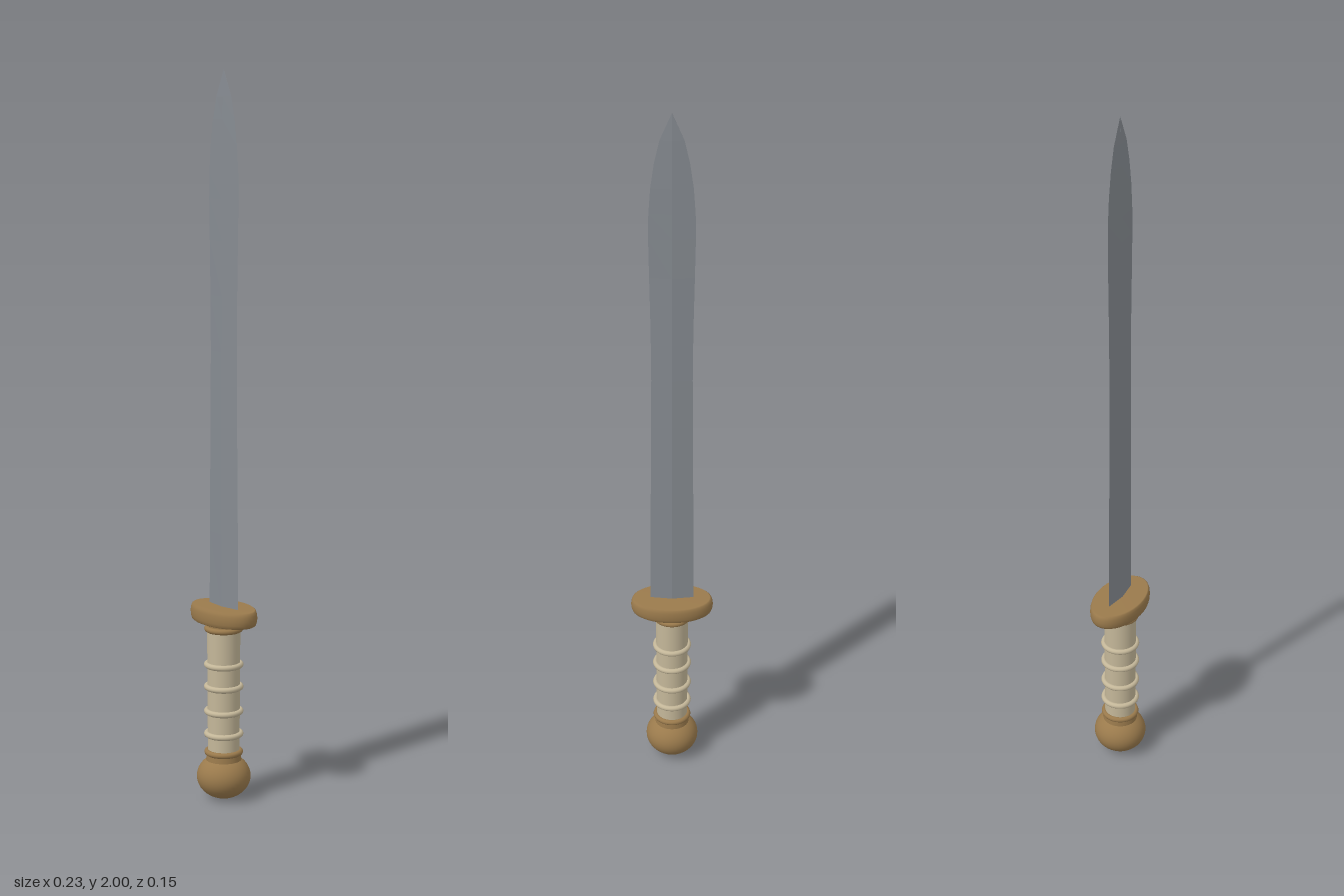
import * as THREE from 'three';

const mat = (color, extra = {}) => {
  const m = new THREE.MeshStandardMaterial({ color });
  return Object.assign(m, extra);
};

// Straight double-edged blade: diamond cross-sections [y, half width, half thickness]
function bladeGeometry() {
  const sections = [
    [0.53, 0.061, 0.008], [0.75, 0.060, 0.008], [1.0, 0.057, 0.0075], [1.25, 0.055, 0.007],
    [1.4, 0.056, 0.0065], [1.55, 0.059, 0.006], [1.66, 0.061, 0.0055], [1.73, 0.060, 0.005],
    [1.8, 0.055, 0.0045], [1.87, 0.045, 0.004], [1.93, 0.031, 0.003], [2.0, 0.0005, 0.0005],
  ];
  const corner = ([y, w, t], k) => [[w, y, 0], [0, y, t], [-w, y, 0], [0, y, -t]][k % 4];
  const pos = [];
  for (let i = 0; i < sections.length - 1; i++) {
    for (let k = 0; k < 4; k++) {
      const a = corner(sections[i], k), b = corner(sections[i], k + 1);
      const c = corner(sections[i + 1], k + 1), d = corner(sections[i + 1], k);
      pos.push(...a, ...c, ...b, ...a, ...d, ...c);
    }
  }
  // the corners run towards +z first, so reverse each triangle to face outwards
  for (let i = 0; i < pos.length; i += 9) {
    for (let j = 3; j < 6; j++) [pos[i + j], pos[i + j + 3]] = [pos[i + j + 3], pos[i + j]];
  }
  const g = new THREE.BufferGeometry();
  g.setAttribute('position', new THREE.Float32BufferAttribute(pos, 3));
  g.computeVertexNormals();
  return g;
}

export function createModel() {
  const model = new THREE.Group();
  const bronze = mat(0x9a7a4c);
  const bone = mat(0xc4b799);
  const steel = mat(0x868b91, { flatShading: true, side: THREE.DoubleSide });

  const add = (name, geometry, material, y = 0) => {
    const mesh = new THREE.Mesh(geometry, material);
    mesh.name = name;
    mesh.position.y = y;
    model.add(mesh);
    return mesh;
  };
  const lathe = (pts) => new THREE.LatheGeometry(pts.map(([r, y]) => new THREE.Vector2(r, y)), 40);

  add('blade', bladeGeometry(), steel);

  // Oval guard with softly rounded rim
  const guardProfile = [[0, 0.504], [0.107, 0.504]];
  for (let i = 0; i <= 6; i++) {
    const a = -Math.PI / 2 + (i / 6) * Math.PI;
    guardProfile.push([0.107 + 0.009 * Math.cos(a), 0.526 + 0.022 * Math.sin(a)]);
  }
  guardProfile.push([0, 0.548]);
  add('guard', lathe(guardProfile), bronze).scale.z = 0.61;

  // Grip with raised rings
  add('grip', new THREE.CylinderGeometry(0.046, 0.044, 0.38, 40), bone, 0.3);
  add('gripNeck', new THREE.CylinderGeometry(0.04, 0.04, 0.03, 40), bronze, 0.497);
  for (const y of [0.185, 0.25, 0.32, 0.383]) {
    const ring = add('gripRing', new THREE.TorusGeometry(0.047, 0.008, 10, 40), bone, y);
    ring.rotation.x = Math.PI / 2;
  }

  // Bronze collars at both ends of the grip
  for (const y of [0.133, 0.485]) {
    const collar = add('gripCollar', new THREE.TorusGeometry(0.046, 0.008, 10, 40), bronze, y);
    collar.rotation.x = Math.PI / 2;
  }
  add('pommelNeck', new THREE.CylinderGeometry(0.047, 0.05, 0.03, 40), bronze, 0.118);

  // Slightly flattened ball pommel
  add('pommel', new THREE.SphereGeometry(0.075, 40, 24), bronze, 0.063).scale.y = 0.84;

  return model;
}
